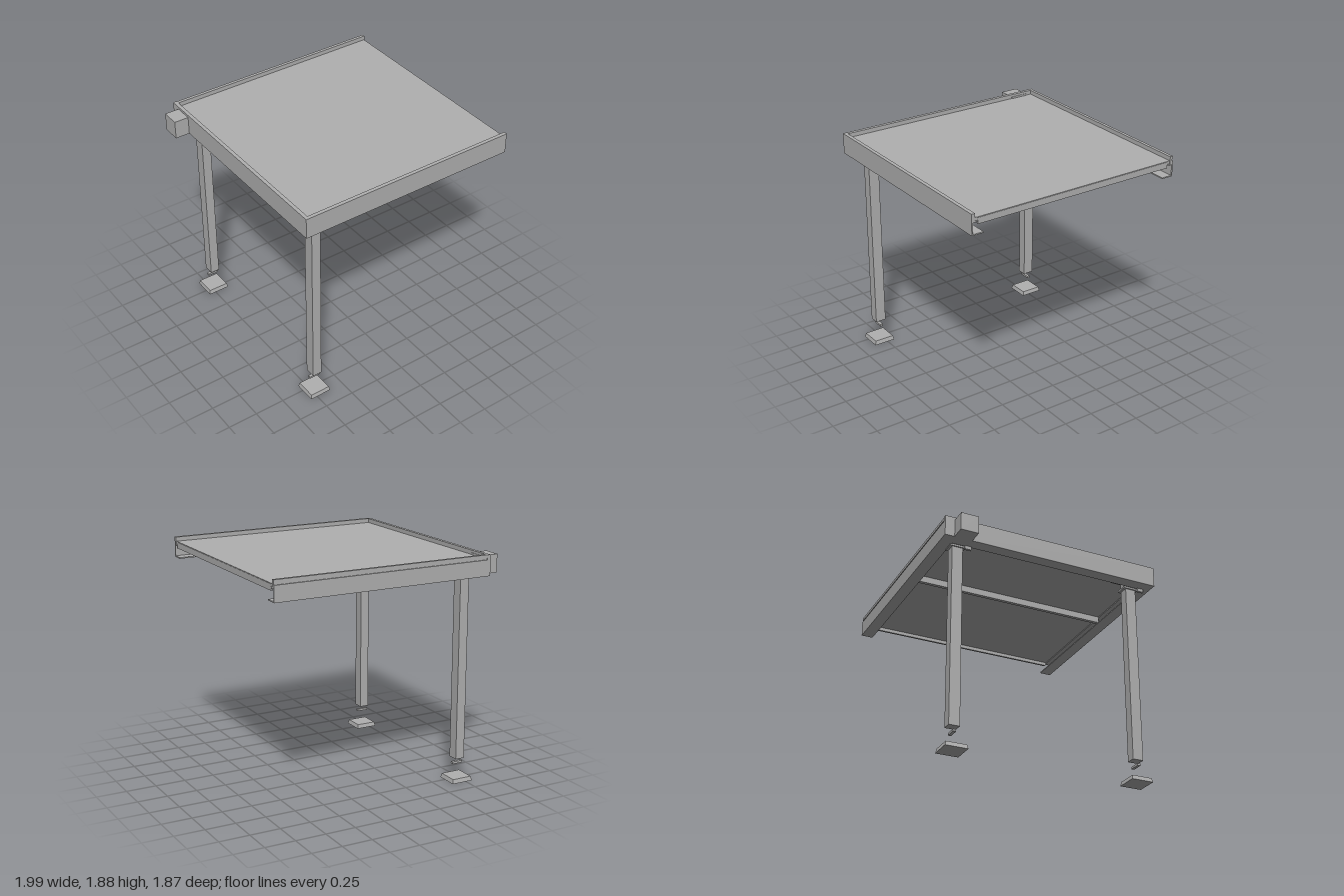
import * as THREE from 'three';

export function createModel() {
  const model = new THREE.Group();
  model.name = 'canopy';
  const grey = new THREE.MeshStandardMaterial({ color: 0xb0b0b0 });
  grey.name = 'grey metal';

  function add(name, geometry, x = 0, y = 0, z = 0, turn = 0) {
    const mesh = new THREE.Mesh(geometry, grey);
    mesh.name = name;
    mesh.position.set(x, y, z);
    mesh.rotation.y = turn;
    model.add(mesh);
    return mesh;
  }

  // box given by its lower and upper corner
  function block(name, x0, x1, y0, y1, z0, z1) {
    return add(name, new THREE.BoxGeometry(x1 - x0, y1 - y0, z1 - z0),
      (x0 + x1) / 2, (y0 + y1) / 2, (z0 + z1) / 2);
  }

  // gutter beam: bottom flange, thin wall, ledge for the panel and thick rim
  function channel(grooved) {
    const points = [[0, 1.71], [0.1, 1.71], [0.1, 1.72], [0.012, 1.72], [0.012, 1.81],
      [0.05, 1.81], [0.05, 1.82], [0.03, 1.82], [0.03, 1.88], [0.004, 1.88]];
    if (grooved) points.push([0.004, 1.855], [0.01, 1.855], [0.01, 1.84], [0, 1.84]);
    else points.push([0, 1.88]);
    const shape = new THREE.Shape(points.map(([x, y]) => new THREE.Vector2(x, y)));
    return new THREE.ExtrudeGeometry(shape, { depth: 1.87, bevelEnabled: false });
  }

  // roof frame, open on the left side
  add('frontBeam', channel(false), -0.875, 0, 0.935, Math.PI / 2);
  add('backBeam', channel(true), 0.995, 0, -0.935, -Math.PI / 2);
  add('rightBeam', channel(false), -0.875, 0, -0.935);

  // roof panel, edge strip and crossbeam
  block('roofPanel', -0.845, 0.99, 1.82, 1.845, -0.905, 0.905);
  block('edgeStrip', 0.975, 0.993, 1.79, 1.84, -0.88, 0.88);
  block('crossbeam', -0.03, 0.0, 1.765, 1.82, -0.885, 0.885);

  // control box sticking out of the right side
  block('controlBox', -0.995, -0.84, 1.71, 1.86, -0.855, -0.705);

  // foot with a slightly narrower top
  const foot = new THREE.CylinderGeometry(0.084 * Math.SQRT2, 0.092 * Math.SQRT2, 0.035, 4, 1)
    .toNonIndexed();
  foot.rotateY(Math.PI / 4);
  foot.computeVertexNormals();

  // post, foot and bracing at both right corners
  for (const s of [1, -1]) {
    const x = -0.715, z = s * 0.778;
    add('foot', foot, x, 0.0175, z);
    add('anchorTongue', new THREE.BoxGeometry(0.095, 0.018, 0.025), x, 0.148, z);
    add('post', new THREE.BoxGeometry(0.078, 1.52, 0.09), x, 0.95, z);
    add('postCap', new THREE.BoxGeometry(0.1, 0.016, 0.13), x, 1.708, z);
    add('postHead', new THREE.BoxGeometry(0.078, 0.11, 0.09), x, 1.765, z);
    add('mountingPlate', new THREE.BoxGeometry(0.2, 0.008, 0.2), x, 1.816, z);
    add('cornerBrace', new THREE.BoxGeometry(0.4, 0.03, 0.03), x - 0.005, 1.735, z, -s * Math.PI / 4);
    add('capTab', new THREE.BoxGeometry(0.02, 0.03, 0.055), -0.778, 1.697, z + 0.075);
  }
  return model;
}
